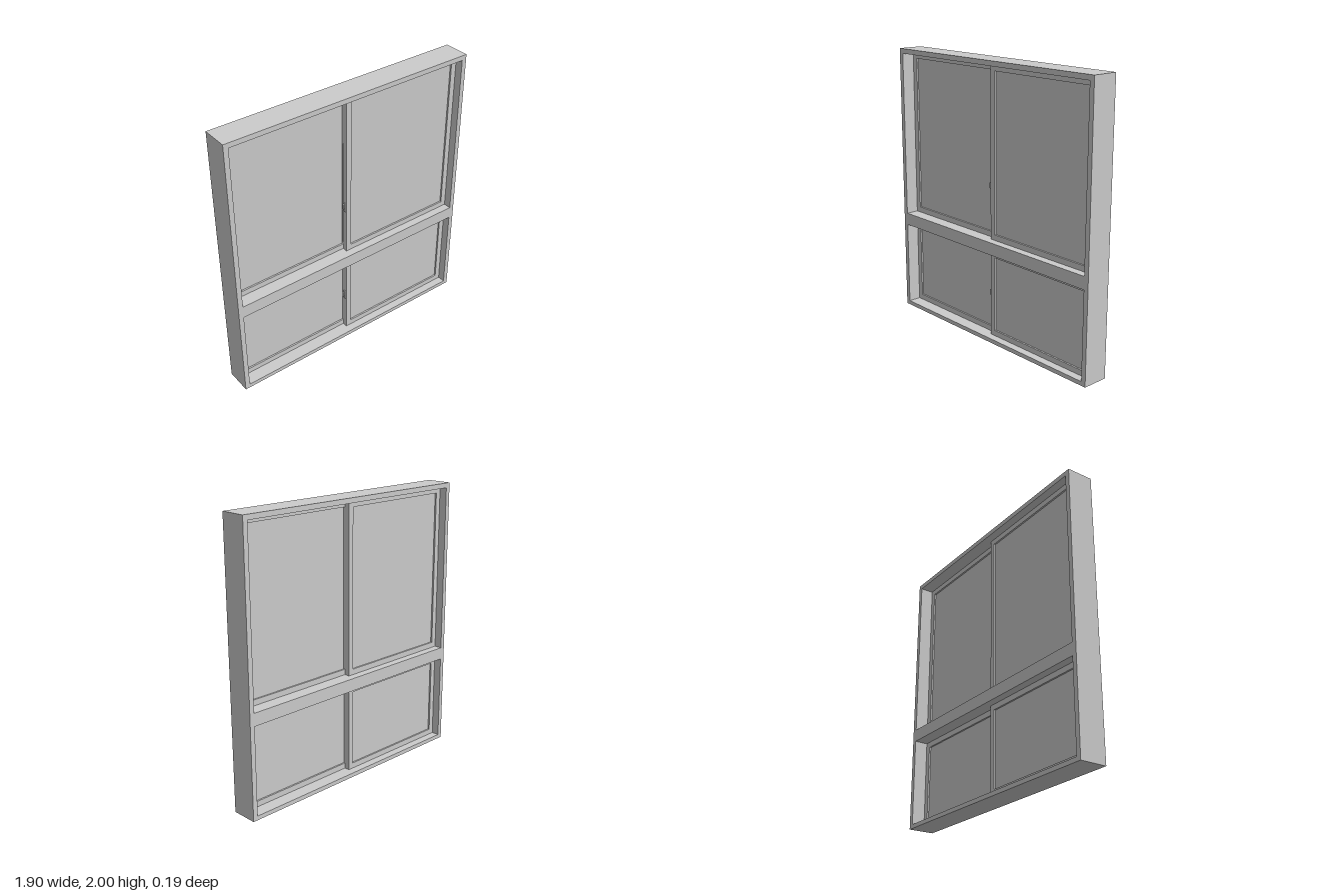
import * as THREE from 'three';

const material = new THREE.MeshStandardMaterial({ color: 0xcccccc });

// Closed rectangle outline, usable as a shape or a hole
function rect(path, x0, y0, x1, y1) {
  path.moveTo(x0, y0);
  path.lineTo(x1, y0);
  path.lineTo(x1, y1);
  path.lineTo(x0, y1);
  path.closePath();
  return path;
}

// Flat plate with rectangular holes, extruded from z0 to z1
function plate(name, outer, holes, z0, z1) {
  const shape = rect(new THREE.Shape(), ...outer);
  for (const h of holes) shape.holes.push(rect(new THREE.Path(), ...h));
  const geometry = new THREE.ExtrudeGeometry(shape, { depth: z1 - z0, bevelEnabled: false });
  geometry.translate(0, 0, z0);
  const mesh = new THREE.Mesh(geometry, material);
  mesh.name = name;
  return mesh;
}

function box(name, w, h, d, x, y, z) {
  const mesh = new THREE.Mesh(new THREE.BoxGeometry(w, h, d), material);
  mesh.name = name;
  mesh.position.set(x, y, z);
  return mesh;
}

// One sliding sash: a slim border with a slightly recessed pane
function sash(name, x0, x1, y0, y1, z0, z1) {
  const border = 0.04, recess = 0.012;
  const inner = [x0 + border, y0 + border, x1 - border, y1 - border];
  const group = new THREE.Group();
  group.name = name;
  group.add(plate('sashFrame', [x0, y0, x1, y1], [inner], z0, z1));
  group.add(plate('pane', inner, [], z0 + recess, z1 - recess));
  return group;
}

// Small catch beside the meeting stile
function latch(y) {
  const group = new THREE.Group();
  group.name = 'latch';
  group.add(box('latchPlate', 0.006, 0.07, 0.02, -0.023, 0, 0.02));
  group.add(box('latchLever', 0.008, 0.04, 0.012, -0.036, 0.012, 0.022));
  for (const dy of [-0.006, 0.028]) {
    const pin = new THREE.Mesh(new THREE.CylinderGeometry(0.004, 0.004, 0.016, 10), material);
    pin.name = 'latchPin';
    pin.rotation.z = Math.PI / 2;
    pin.position.set(-0.03, dy, 0.021);
    group.add(pin);
  }
  group.position.y = y;
  return group;
}

export function createModel() {
  const model = new THREE.Group();
  model.name = 'slidingWindow';

  const side = 0.915;
  const openings = [
    { name: 'lower', y0: 0.03, y1: 0.66, latchY: 0.335 },
    { name: 'upper', y0: 0.75, y1: 1.965, latchY: 1.12 },
  ];

  // Outer frame with the middle crossbar
  model.add(plate('frame', [-0.95, 0, 0.95, 2],
    openings.map(o => [-side, o.y0, side, o.y1]), -0.095, 0.095));

  // A pair of overlapping sashes and a latch in each opening
  for (const o of openings) {
    model.add(sash(o.name + 'FrontSash', -0.02, side, o.y0, o.y1, 0.002, 0.037));
    model.add(sash(o.name + 'BackSash', -side, 0.02, o.y0, o.y1, -0.037, 0));
    model.add(latch(o.latchY));
  }
  return model;
}
